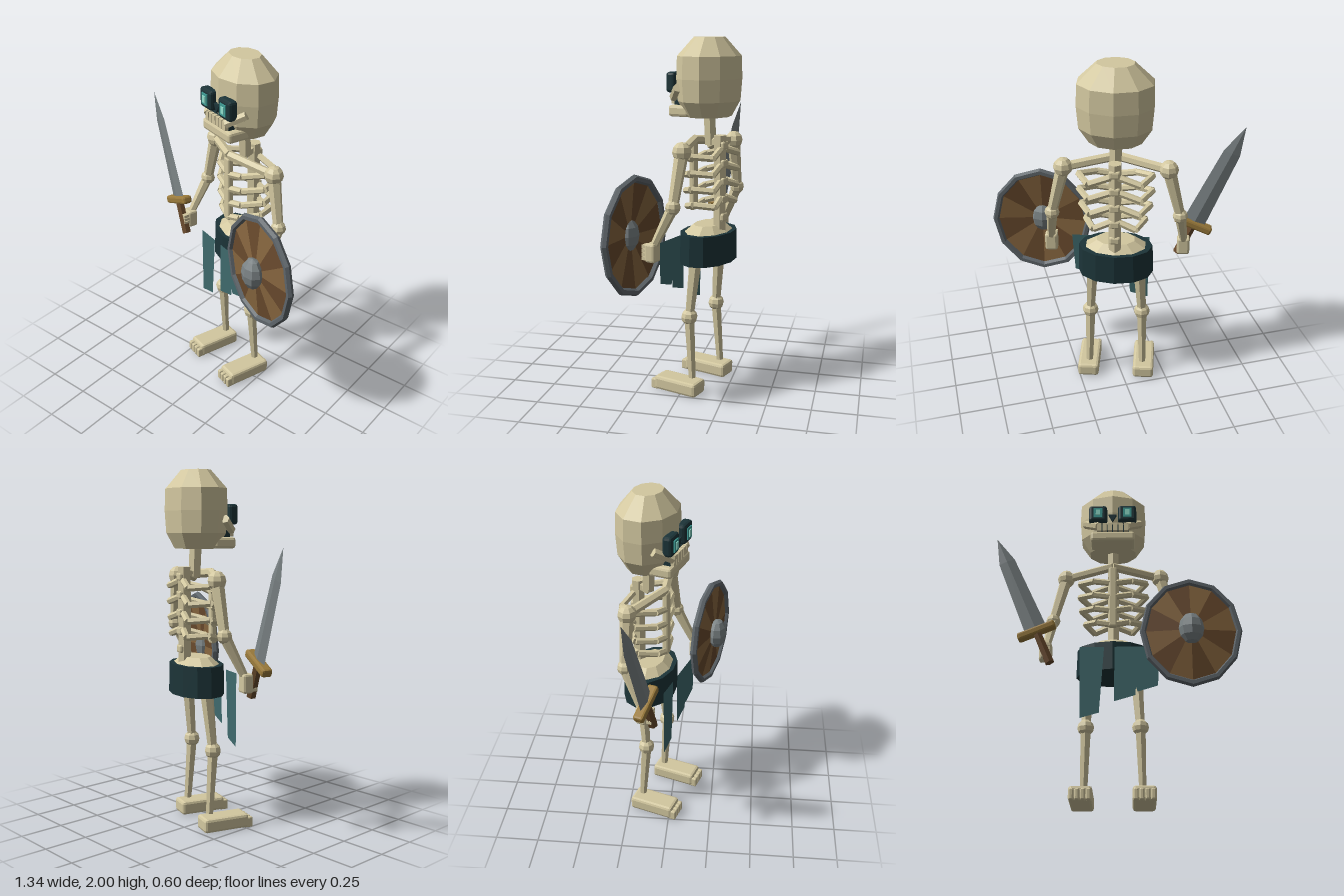
import * as THREE from 'three';
import { RoundedBoxGeometry } from 'three/addons/geometries/RoundedBoxGeometry.js';

const V = (x, y, z) => new THREE.Vector3(x, y, z);

function makeMaterials() {
  const colours = {
    bone: 0xd3c8a0, darkSocket: 0x1c3438, glow: 0x3f9f98, glowCore: 0x93e2cf, cloth: 0x3f6a6d,
    steel: 0x7b8385, rimIron: 0x5f666b, brass: 0x9c7c3c, lightWood: 0x87663f, darkWood: 0x694a2d,
  };
  const mats = {};
  for (const [name, color] of Object.entries(colours)) {
    mats[name] = new THREE.MeshStandardMaterial({ color, flatShading: true });
    mats[name].name = name;
  }
  for (const n of ['cloth', 'lightWood', 'darkWood']) mats[n].side = THREE.DoubleSide;
  return mats;
}

export function createModel() {
  const M = makeMaterials();
  const root = new THREE.Group();
  root.name = 'skeletonWarrior';
  const body = new THREE.Group();
  body.name = 'body';
  body.position.set(0.033, 0, -0.125);
  body.rotation.y = -0.32; // turned slightly toward its right
  root.add(body);

  const add = (name, geo, mat, pos = V(0, 0, 0), parent = body) => {
    const m = new THREE.Mesh(geo, mat);
    m.name = name;
    m.position.copy(pos);
    parent.add(m);
    return m;
  };
  // Chamfered block
  const block = (name, w, h, d, pos, mat = M.bone, bevel = 0.012, parent = body) =>
    add(name, new RoundedBoxGeometry(w, h, d, 1, bevel), mat, pos, parent);
  const box = (name, w, h, d, pos, mat = M.bone, parent = body) =>
    add(name, new THREE.BoxGeometry(w, h, d), mat, pos, parent);
  // Tapered rod between two points
  const bone = (name, a, b, ra, rb = ra, sides = 6) => {
    const dir = b.clone().sub(a);
    const m = add(name, new THREE.CylinderGeometry(rb, ra, dir.length(), sides), M.bone, a.clone().add(b).multiplyScalar(0.5));
    m.quaternion.setFromUnitVectors(V(0, 1, 0), dir.normalize());
    return m;
  };
  const joint = (name, p, r) => add(name, new THREE.SphereGeometry(r, 8, 6), M.bone, p);

  // Skull
  const profile = [[0, 1.575], [0.145, 1.575], [0.2, 1.66], [0.21, 1.78], [0.205, 1.9], [0.1, 2], [0, 2]];
  const skull = add('skull', new THREE.LatheGeometry(profile.map(p => new THREE.Vector2(...p)), 10), M.bone);
  skull.scale.z = 0.8;

  // Face
  for (const s of [-1, 1]) {
    block('eyeSocket', 0.11, 0.11, 0.055, V(s * 0.088, 1.76, 0.165), M.darkSocket, 0.015);
    box('eyeGlow', 0.052, 0.064, 0.008, V(s * 0.088, 1.76, 0.195), M.glow);
    box('eyeCore', 0.026, 0.038, 0.006, V(s * 0.088, 1.76, 0.2), M.glowCore);
    bone('cheekbone', V(s * 0.165, 1.735, 0.1), V(s * 0.085, 1.675, 0.175), 0.025);
  }
  const nose = new THREE.Shape([[-0.024, 0.024], [0, -0.024], [0.024, 0.024]].map(p => new THREE.Vector2(...p)));
  add('noseHole', new THREE.ExtrudeGeometry(nose, { depth: 0.03, bevelEnabled: false }), M.darkSocket, V(0, 1.733, 0.15));
  box('mouth', 0.19, 0.06, 0.06, V(0, 1.665, 0.135), M.darkSocket);
  for (let i = 0; i < 6; i++) box('tooth', 0.026, 0.052, 0.03, V((i - 2.5) * 0.032, 1.667, 0.172));
  block('jaw', 0.265, 0.062, 0.13, V(0, 1.606, 0.12), M.bone, 0.015);

  // Spine, breastbone and ribs
  bone('neck', V(0, 1.42, -0.01), V(0, 1.62, 0), 0.036);
  bone('neckBase', V(0, 1.45, -0.07), V(0, 1.42, 0.0), 0.03);
  bone('spine', V(0, 0.94, -0.07), V(0, 1.475, -0.07), 0.038);
  for (let i = 0; i < 5; i++) block('vertebra', 0.06, 0.045, 0.05, V(0, 1.02 + i * 0.1, -0.085), M.bone, 0.01);
  block('breastbone', 0.05, 0.39, 0.035, V(0, 1.235, 0.1), M.bone, 0.01);
  [[1.33, 1], [1.24, 1], [1.15, 0.95], [1.06, 0.82]].forEach(([y, k]) => {
    for (const s of [-1, 1]) {
      const path = [[0.015, 0, 0.1], [0.11, 0.02, 0.085], [0.2, 0.045, 0], [0.14, 0.035, -0.105], [0.02, 0.07, -0.085]]
        .map(([px, py, pz]) => V(s * px * k, y + py, pz));
      for (let i = 0; i < 4; i++) bone('rib', path[i], path[i + 1], 0.019);
    }
  });

  // Pelvis and belt
  const pelvis = add('pelvis', new THREE.CylinderGeometry(0.11, 0.19, 0.05, 10), M.bone, V(0, 0.95, 0));
  pelvis.scale.z = 0.68;
  const belt = add('belt', new THREE.CylinderGeometry(0.207, 0.212, 0.17, 12), M.darkSocket, V(0, 0.85, 0));
  belt.scale.z = 0.68;

  // Torn cloth panels
  const panels = [
    [[-0.185, 0.89], [-0.18, 0.47], [-0.075, 0.5], [-0.048, 0.89]],
    [[0.01, 0.89], [0.008, 0.565], [0.125, 0.6], [0.128, 0.65], [0.137, 0.62], [0.25, 0.655], [0.265, 0.89]],
  ];
  for (const p of panels) {
    add('clothPanel', new THREE.ShapeGeometry(new THREE.Shape(p.map(q => new THREE.Vector2(...q)))), M.cloth, V(0, 0, 0.162));
  }

  // Limbs, mirrored
  for (const s of [-1, 1]) {
    const shoulder = V(s * 0.283, 1.412, 0), elbow = V(s * 0.354, 1.125, 0.012), wrist = V(s * 0.38, 0.91, 0.115);
    bone('collarbone', V(0, 1.44, 0.095), shoulder, 0.026);
    joint('shoulder', shoulder, 0.053);
    bone('upperArm', shoulder, elbow, 0.038, 0.028);
    joint('elbow', elbow, 0.042);
    bone('forearm', elbow, wrist, 0.032, 0.022);
    block('hand', 0.072, 0.105, 0.06, V(s * 0.38, 0.872, 0.125));
    for (let i = 0; i < 4; i++) box('finger', 0.05, 0.018, 0.045, V(s * 0.375, 0.835 + i * 0.022, 0.162));

    const hip = V(s * 0.13, 0.85, 0), knee = V(s * 0.152, 0.457, 0.034), ankle = V(s * 0.16, 0.1, 0.01);
    bone('thigh', hip, knee, 0.04, 0.026);
    joint('knee', knee, 0.047);
    bone('shin', ankle, knee, 0.022, 0.032);
    block('foot', 0.125, 0.08, 0.27, V(s * 0.167, 0.045, 0.09), M.bone, 0.016);
    for (let i = 0; i < 4; i++) block('toe', 0.026, 0.06, 0.05, V(s * 0.167 + (i - 1.5) * 0.03, 0.034, 0.225), M.bone, 0.007);
  }

  // Sword
  const sword = new THREE.Group();
  sword.name = 'sword';
  sword.position.set(-0.432, 0.985, 0.172);
  sword.rotation.z = 0.4;
  body.add(sword);
  const blade = add('blade', new THREE.CylinderGeometry(0.048, 0.064, 0.48, 4), M.steel, V(0, 0.25, 0), sword);
  const tip = add('bladeTip', new THREE.ConeGeometry(0.048, 0.17, 4), M.steel, V(0, 0.575, 0), sword);
  blade.scale.z = tip.scale.z = 0.22;
  block('guard', 0.225, 0.046, 0.06, V(0, 0, 0), M.brass, 0.012, sword);
  add('grip', new THREE.CylinderGeometry(0.025, 0.028, 0.2, 6), M.darkWood, V(0, -0.11, 0), sword);

  // Shield: oval with alternating planks fanned around a boss
  const shield = new THREE.Group();
  shield.name = 'shield';
  shield.position.set(0.441, 0.965, 0.196);
  shield.scale.x = 0.865;
  body.add(shield);
  const disc = new THREE.CircleGeometry(0.31, 12);
  disc.attributes.position.setZ(0, 0.03);
  for (let i = 0; i < 12; i++) disc.addGroup(i * 3, 3, i % 2);
  add('shieldPlanks', disc, [M.lightWood, M.darkWood], V(0, 0, 0), shield);
  add('shieldRim', new THREE.TorusGeometry(0.312, 0.021, 6, 12), M.rimIron, V(0, 0, 0), shield);
  const boss = add('shieldBoss', new THREE.SphereGeometry(0.09, 8, 6), M.steel, V(0, 0, 0.045), shield);
  boss.scale.set(0.92, 1.03, 0.62);

  return root;
}
